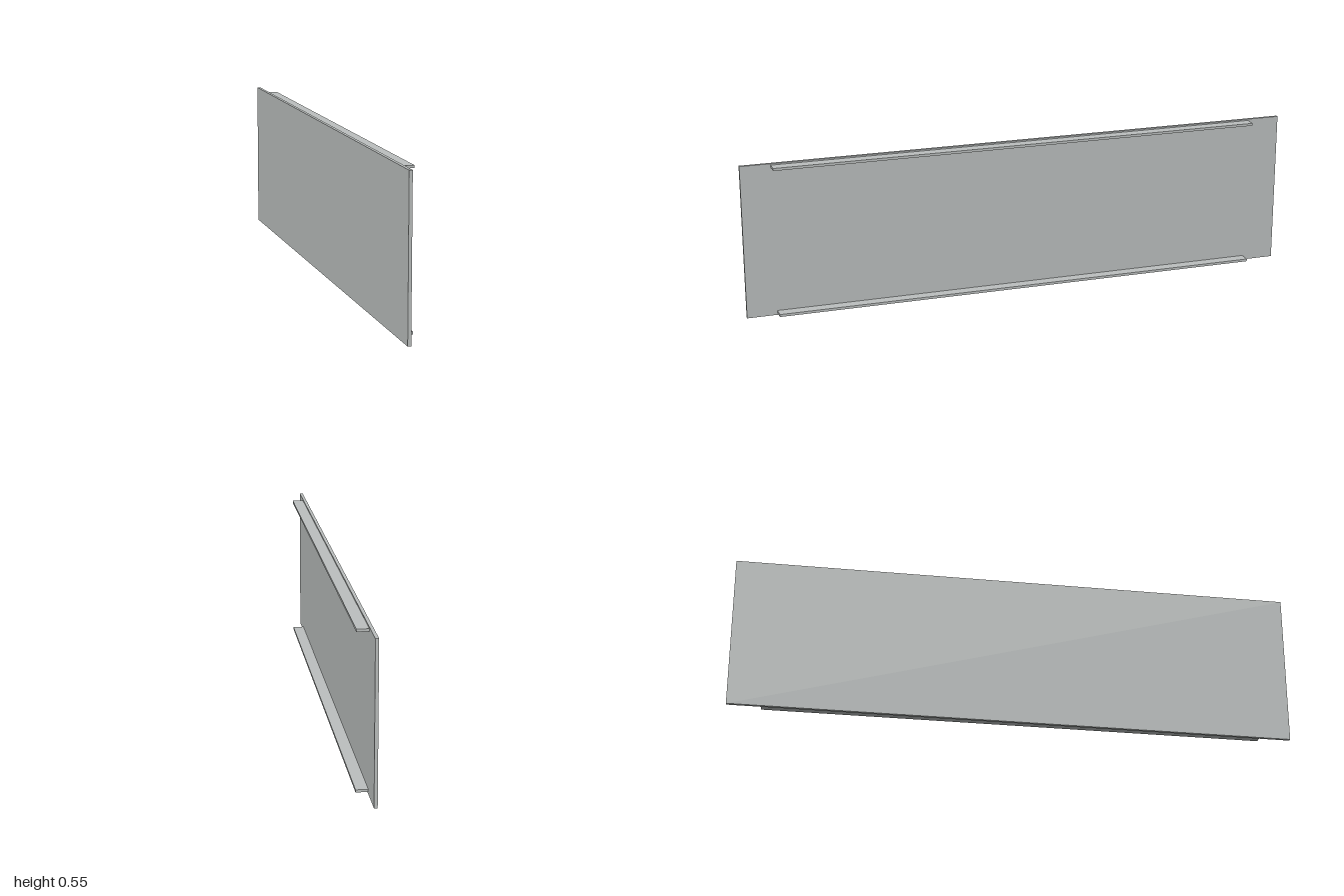
import * as THREE from 'three';

export function createModel() {
  const model = new THREE.Group();
  model.name = 'railedPanel';
  const grey = new THREE.MeshStandardMaterial({ color: 0xbcc0bf });
  grey.name = 'light grey';

  // Box given by its minimum and maximum corners
  const addBox = (name, min, max) => {
    const size = max.map((v, i) => v - min[i]);
    const mesh = new THREE.Mesh(new THREE.BoxGeometry(...size), grey);
    mesh.position.set(...max.map((v, i) => (v + min[i]) / 2));
    mesh.name = name;
    model.add(mesh);
  };

  // Upright thin panel
  addBox('panel', [-0.026, 0, -1], [-0.0145, 0.55, 1]);

  // Two horizontal rails on the +x face, slightly shorter than the panel
  for (const [name, y] of [['lowerRail', 0.007], ['upperRail', 0.536]]) {
    addBox(name, [-0.0145, y, -0.88], [0.026, y + 0.009, 0.893]);
  }
  return model;
}
